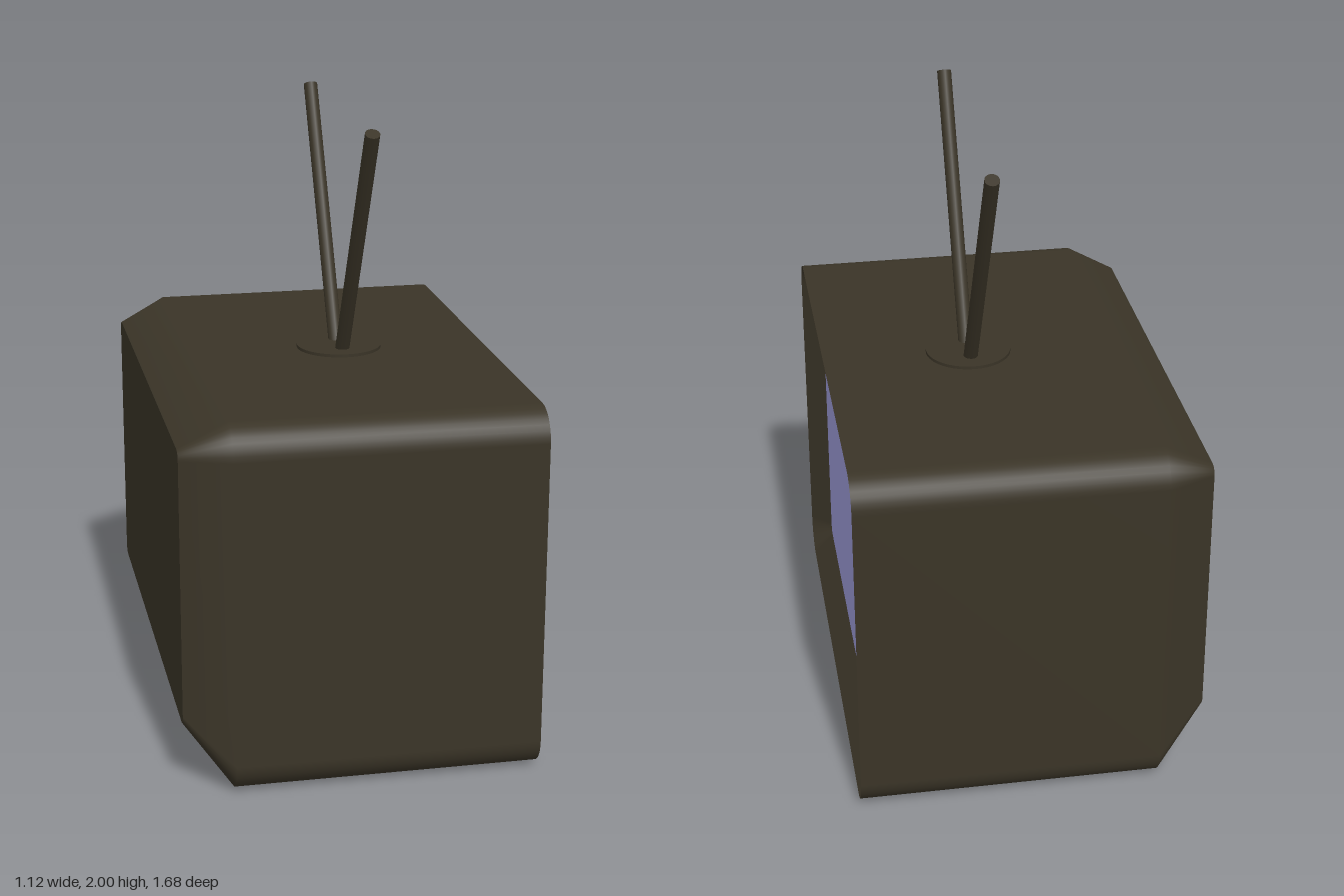
import * as THREE from 'three';

const CORNER_STEPS = 8;

// Rounded rectangle in the z/y plane at a given x (radius 0 and size 0 give a point)
function ring(x, yLow, yHigh, halfZ, radius) {
  const points = [];
  const corners = [[1, 1], [-1, 1], [-1, -1], [1, -1]];
  corners.forEach(([sz, sy], c) => {
    const cz = sz * (halfZ - radius);
    const cy = sy > 0 ? yHigh - radius : yLow + radius;
    for (let i = 0; i <= CORNER_STEPS; i++) {
      const a = (c + i / CORNER_STEPS) * Math.PI / 2;
      points.push([x, cy + radius * Math.sin(a), cz + radius * Math.cos(a)]);
    }
  });
  return points;
}

// Joins successive rings with smooth faces
function loft(rings) {
  const n = rings[0].length;
  const index = [];
  for (let r = 0; r < rings.length - 1; r++) {
    for (let i = 0; i < n; i++) {
      const j = (i + 1) % n;
      const a = r * n + i, b = r * n + j, c = a + n, d = b + n;
      index.push(a, c, b, b, c, d);
    }
  }
  const geometry = new THREE.BufferGeometry();
  geometry.setAttribute('position', new THREE.Float32BufferAttribute(rings.flat(2), 3));
  geometry.setIndex(index);
  geometry.computeVertexNormals();
  return geometry;
}

export function createModel() {
  const group = new THREE.Group();
  const caseMaterial = new THREE.MeshStandardMaterial({ color: 0x3a3427 });
  const screenMaterial = new THREE.MeshStandardMaterial({ color: 0x9f9ddb });

  const add = (name, geometry, material = caseMaterial) => {
    const mesh = new THREE.Mesh(geometry, material);
    mesh.name = name;
    group.add(mesh);
    return mesh;
  };

  // Cabinet sections, from the tapered back to the recessed screen
  const back = ring(-0.565, 0.22, 1.11, 0.76, 0.03);
  const shoulder = ring(-0.41, 0, 1.19, 0.84, 0.1);
  const rim = ring(0.56, 0, 1.19, 0.84, 0.1);
  const screenEdge = ring(0.493, 0.08, 1.11, 0.76, 0.03);

  add('cabinet', loft([back, shoulder, rim]));
  add('backPanel', loft([ring(-0.565, 0.665, 0.665, 0, 0), back]));
  add('bezel', loft([rim, screenEdge]));
  add('screen', loft([screenEdge, ring(0.493, 0.595, 0.595, 0, 0)]), screenMaterial);

  // Antenna base disc
  add('antennaBase', new THREE.CylinderGeometry(0.14, 0.14, 0.03, 40)).position.set(0.08, 1.185, 0);

  // Pair of slanted antenna rods
  for (const side of [1, -1]) {
    const foot = new THREE.Vector3(0.08, 1.18, side * 0.047);
    const tip = new THREE.Vector3(0.08, 1.988, side * 0.487);
    const rod = add(side > 0 ? 'leftAntenna' : 'rightAntenna',
      new THREE.CylinderGeometry(0.0235, 0.0235, foot.distanceTo(tip), 16));
    rod.position.lerpVectors(foot, tip, 0.5);
    rod.quaternion.setFromUnitVectors(new THREE.Vector3(0, 1, 0), tip.clone().sub(foot).normalize());
  }

  return group;
}
